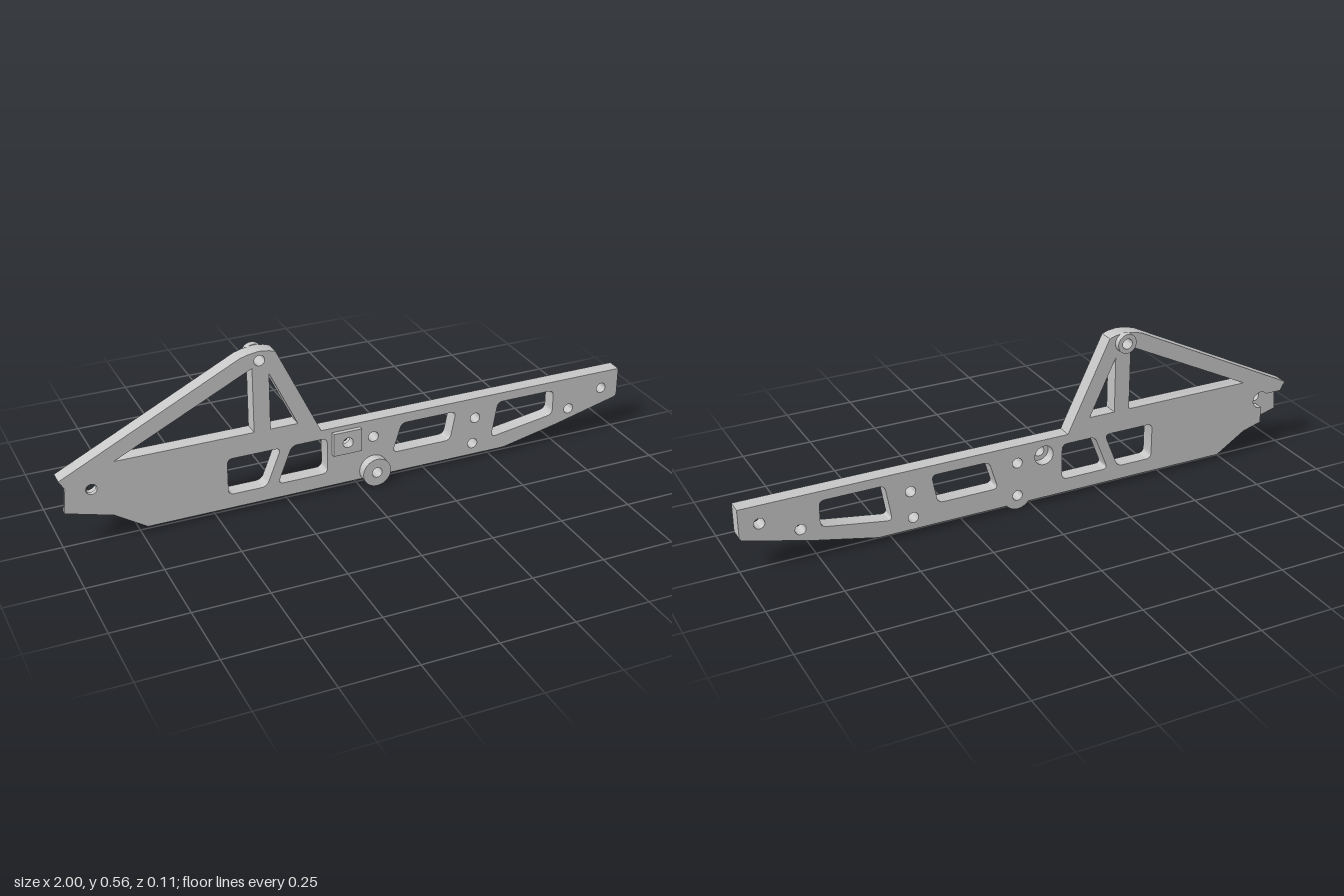
import * as THREE from 'three';
import { toCreasedNormals } from 'three/addons/utils/BufferGeometryUtils.js';

const BACK = -0.031, MID = 0.005, FRONT = 0.021;
const BORE = 0.018;

const circle = (x, y, r) => new THREE.Path().absarc(x, y, r, 0, Math.PI * 2, true);
const disc = (x, y, r) => new THREE.Shape().absarc(x, y, r, 0, Math.PI * 2, false);

// Outlines are listed clockwise and reversed so that hole walls face inwards
const shapeOf = (pts) => new THREE.Shape(pts.map(([x, y]) => new THREE.Vector2(x, y)).reverse());

// Polygonal window with rounded corners
function roundedWindow(pts, r = 0.02) {
  const path = new THREE.Path();
  const v = pts.map(([x, y]) => new THREE.Vector2(x, y));
  v.forEach((p, i) => {
    const toward = (q) => q.clone().sub(p).setLength(r).add(p);
    const a = toward(v[(i + v.length - 1) % v.length]);
    const b = toward(v[(i + 1) % v.length]);
    if (i) path.lineTo(a.x, a.y); else path.moveTo(a.x, a.y);
    path.quadraticCurveTo(p.x, p.y, b.x, b.y);
  });
  path.closePath();
  return path;
}

export function createModel() {
  const group = new THREE.Group();
  const grey = new THREE.MeshStandardMaterial({ color: 0xc8c8c8 });
  grey.name = 'grey';

  function addExtrusion(name, shape, holes, z0, z1) {
    shape.holes.push(...holes);
    const geo = new THREE.ExtrudeGeometry(shape, { depth: z1 - z0, bevelEnabled: false, curveSegments: 20 });
    geo.translate(0, 0, z0);
    const mesh = new THREE.Mesh(toCreasedNormals(geo, 0.5), grey);
    mesh.name = name;
    group.add(mesh);
  }

  // Beam outline, clockwise from the left tip
  const beam = [
    [-1, 0.246], [-0.938, 0.277], [-0.153, 0.277], [-0.132, 0.233], [1, 0.233], [1, 0.134], [0.994, 0.125],
    [0.762, 0.066], [0.55, 0.02], [-0.73, 0.02], [-0.836, 0.088],
  ];
  const leftEnd = [[-0.99, 0.131], [-0.982, 0.215]];

  // Recess behind the left end, with a round pocket about its bolt hole
  const recess = [[-0.905, 0.108]];
  for (let i = 0; i <= 16; i++) {
    const a = THREE.MathUtils.degToRad(-100 + i * 241 / 16);
    recess.push([-0.9 + 0.03 * Math.cos(a), 0.196 + 0.03 * Math.sin(a)]);
  }
  recess.push([-0.982, 0.215]);

  // Beam windows and bolt holes
  const cutouts = () => [
    roundedWindow([[-0.457, 0.2], [-0.273, 0.2], [-0.325, 0.07], [-0.457, 0.07]]),
    roundedWindow([[-0.235, 0.2], [-0.111, 0.2], [-0.111, 0.07], [-0.286, 0.07]]),
    roundedWindow([[0.158, 0.198], [0.361, 0.198], [0.341, 0.094], [0.126, 0.094]]),
    roundedWindow([[0.522, 0.2], [0.74, 0.2], [0.74, 0.108], [0.5, 0.07]]),
    ...[[0.055, 0.17], [0.055, 0.05], [0.435, 0.158], [0.428, 0.062], [0.805, 0.116], [0.934, 0.17]]
      .map(([x, y]) => circle(x, y, BORE)),
  ];

  addExtrusion('beamFrontLayer', shapeOf([...beam, ...leftEnd]),
    [...cutouts(), circle(-0.9, 0.196, BORE), circle(-0.043, 0.176, BORE)], MID, FRONT);
  // Back layer carries the recess and the wide counterbore
  addExtrusion('beamBackLayer', shapeOf([...beam, ...recess]),
    [...cutouts(), circle(-0.043, 0.176, 0.034)], BACK, MID);

  // Tower: two sloping bars and a post, open towards the beam
  addExtrusion('tower', shapeOf([
    [-0.938, 0.277], [-0.403, 0.544], [-0.375, 0.552], [-0.338, 0.557], [-0.305, 0.553], [-0.283, 0.546],
    [-0.153, 0.277], [-0.213, 0.277], [-0.307, 0.474], [-0.307, 0.277], [-0.363, 0.277], [-0.363, 0.503],
    [-0.823, 0.277],
  ]), [circle(-0.338, 0.525, BORE)], BACK, FRONT);

  // Raised round bosses
  addExtrusion('lowerBoss', disc(0.055, 0.05, 0.05), [circle(0.055, 0.05, BORE)], BACK, 0.053);
  addExtrusion('towerBoss', disc(-0.338, 0.525, 0.034), [circle(-0.338, 0.525, BORE)], -0.052, BACK);

  // Square mounting pad on the front
  addExtrusion('mountingPad', shapeOf([[-0.094, 0.217], [0.007, 0.217], [0.007, 0.135], [-0.094, 0.135]]),
    [circle(-0.043, 0.176, BORE)], FRONT, 0.036);

  return group;
}
